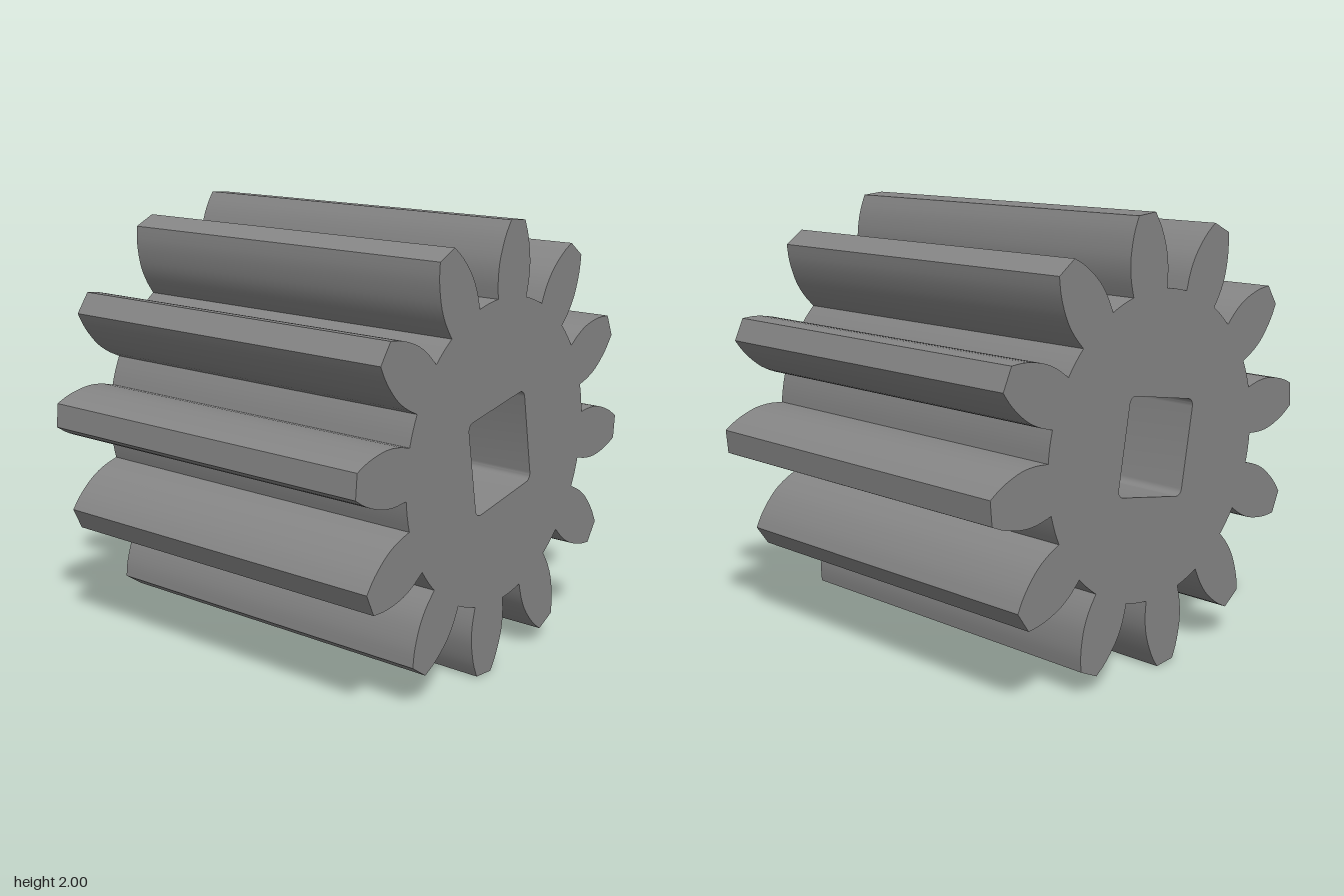
import * as THREE from 'three';
import { toCreasedNormals } from 'three/addons/utils/BufferGeometryUtils.js';

const TEETH = 12;
const DEPTH = 1.714;
const TOOTH_TILT = THREE.MathUtils.degToRad(-5.1);
const HOLE_TILT = THREE.MathUtils.degToRad(10);

// One flank of a tooth from root to tip: (distance along tooth, half width)
const flank = new THREE.SplineCurve([
  [0.67, 0.109], [0.74, 0.12], [0.81, 0.12], [0.875, 0.107], [0.94, 0.085], [0.999, 0.054],
].map(([r, w]) => new THREE.Vector2(r, w))).getPoints(12);

// Toothed outline, counter-clockwise
function gearOutline() {
  const points = [];
  const origin = new THREE.Vector2();
  const pitch = (Math.PI * 2) / TEETH;
  const rootAngle = Math.atan2(flank[0].y, flank[0].x);
  const rootRadius = flank[0].length();
  for (let i = 0; i < TEETH; i++) {
    const angle = TOOTH_TILT + i * pitch;
    const tooth = [
      ...flank.map((p) => new THREE.Vector2(p.x, -p.y)),
      ...flank.slice().reverse().map((p) => p.clone()),
    ];
    points.push(...tooth.map((p) => p.rotateAround(origin, angle)));
    // Round valley floor up to the next tooth
    for (let k = 1; k < 4; k++) {
      const a = angle + rootAngle + (k / 4) * (pitch - 2 * rootAngle);
      points.push(new THREE.Vector2(Math.cos(a) * rootRadius, Math.sin(a) * rootRadius));
    }
  }
  return points;
}

// Square shaft hole with rounded corners
function holeOutline(half, radius) {
  const points = [];
  const c = half - radius;
  for (let q = 0; q < 4; q++) {
    const mid = Math.PI / 4 + (q * Math.PI) / 2;
    const cx = Math.sign(Math.cos(mid)) * c;
    const cy = Math.sign(Math.sin(mid)) * c;
    for (let k = 0; k <= 6; k++) {
      const a = (q + k / 6) * (Math.PI / 2);
      points.push(new THREE.Vector2(cx + Math.cos(a) * radius, cy + Math.sin(a) * radius)
        .rotateAround(new THREE.Vector2(), HOLE_TILT));
    }
  }
  return points;
}

export function createModel() {
  const group = new THREE.Group();
  group.name = 'pinionGear';

  const shape = new THREE.Shape(gearOutline());
  shape.holes.push(new THREE.Path(holeOutline(0.215, 0.033)));

  const extruded = new THREE.ExtrudeGeometry(shape, { depth: DEPTH, bevelEnabled: false });
  extruded.translate(0, 0, -DEPTH / 2);

  const gear = new THREE.Mesh(
    toCreasedNormals(extruded, THREE.MathUtils.degToRad(28)),
    new THREE.MeshStandardMaterial({ color: 0x858585 }),
  );
  gear.name = 'toothedBody';
  gear.position.y = 1;
  group.add(gear);
  return group;
}
